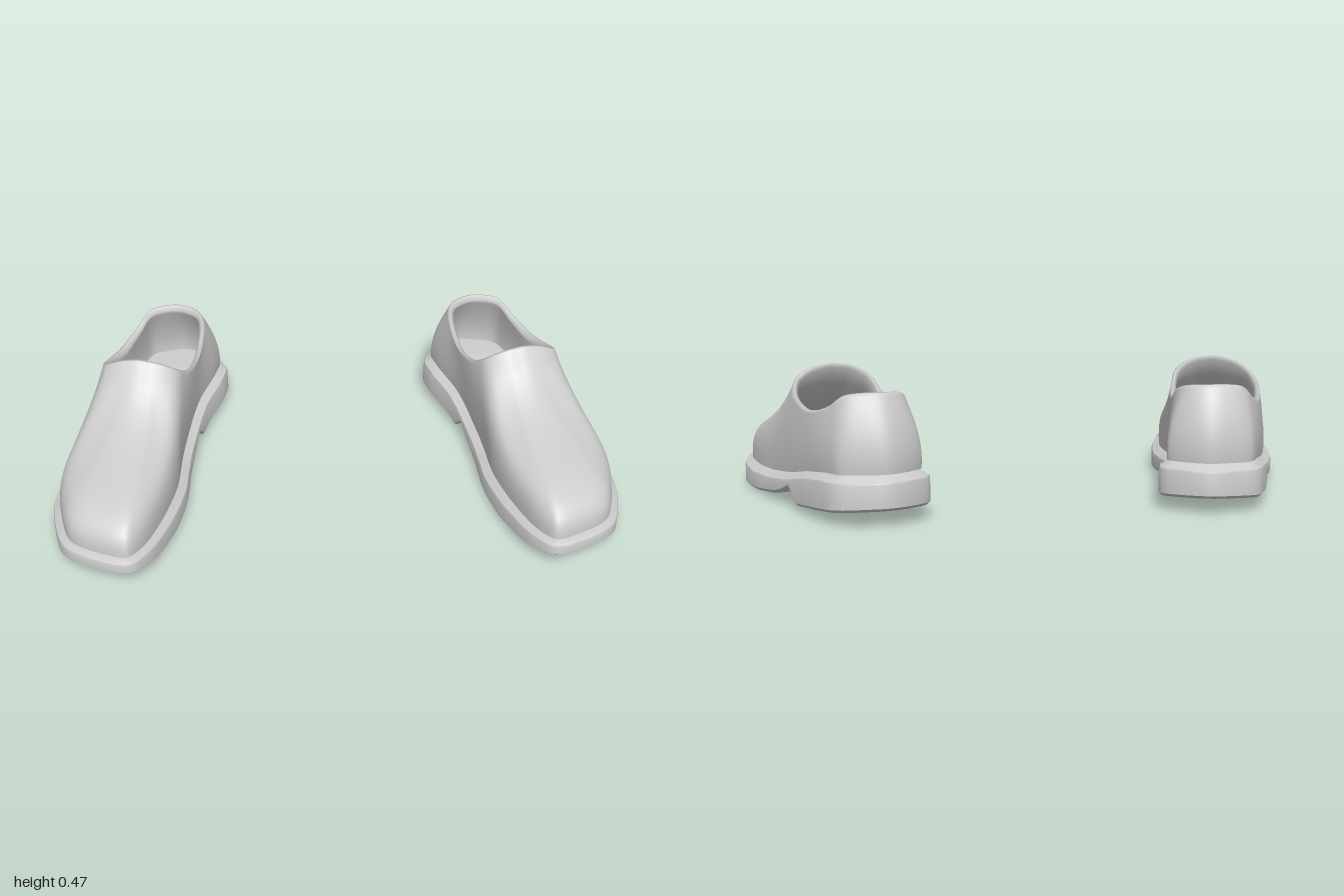
import * as THREE from 'three';
import { toCreasedNormals } from 'three/addons/utils/BufferGeometryUtils.js';

const material = new THREE.MeshStandardMaterial({ color: 0xcccccc, side: THREE.DoubleSide });
const { lerp, smoothstep } = THREE.MathUtils;

// Shoe frame: x across (outer side +), z along (toe +).
// Sole outline [x, z]: heel, inner side, toe, outer side.
const OUTLINE = [
  [0.006, -0.609], [-0.138, -0.533], [-0.147, -0.463], [-0.122, -0.281], [-0.135, -0.036],
  [-0.165, 0.153], [-0.162, 0.34], [-0.133, 0.503], [-0.089, 0.571], [0.025, 0.57],
  [0.151, 0.526], [0.225, 0.421], [0.275, 0.29], [0.282, 0.126], [0.265, -0.023],
  [0.238, -0.237], [0.21, -0.441], [0.182, -0.531], [0.11, -0.58],
];
// Rim of the foot opening [x, y, z], one point for each outline point.
const OPENING = [
  [0.01, 0.42, -0.512], [-0.055, 0.415, -0.49], [-0.088, 0.4, -0.437], [-0.107, 0.35, -0.3],
  [-0.105, 0.375, -0.16], [-0.09, 0.42, -0.095], [-0.06, 0.445, -0.075], [-0.02, 0.462, -0.062],
  [0.02, 0.468, -0.058], [0.05, 0.47, -0.056], [0.085, 0.465, -0.055], [0.115, 0.458, -0.055],
  [0.145, 0.445, -0.058], [0.175, 0.425, -0.07], [0.205, 0.385, -0.14], [0.198, 0.345, -0.29],
  [0.165, 0.37, -0.41], [0.13, 0.41, -0.47], [0.075, 0.42, -0.5],
];
// Heights along z: underside with the heel step, and top edge of the sole.
const UNDERSIDE = [[-0.62, 0.055], [-0.25, 0.018], [-0.19, 0.07], [-0.13, 0.045], [-0.05, 0.025],
  [0.1, 0.008], [0.28, 0], [0.45, 0.02], [0.6, 0.055]];
const SOLE_EDGE = [[-0.62, 0.15], [-0.45, 0.145], [-0.3, 0.125], [-0.15, 0.095], [0, 0.078],
  [0.15, 0.075], [0.3, 0.08], [0.6, 0.1]];

function heightAt(table, z) {
  let i = 0;
  while (i < table.length - 2 && z > table[i + 1][0]) i++;
  const [a, b] = [table[i], table[i + 1]];
  return lerp(a[1], b[1], THREE.MathUtils.clamp((z - a[0]) / (b[0] - a[0]), 0, 1));
}
const edgeY = (z) => heightAt(SOLE_EDGE, z);
const weltY = (z) => edgeY(z) + lerp(0.022, 0.01, smoothstep(z, 0.2, 0.5));

const outline = new THREE.CatmullRomCurve3(OUTLINE.map(([x, z]) => new THREE.Vector3(x, 0, z)), true);
const opening = new THREE.CatmullRomCurve3(OPENING.map((p) => new THREE.Vector3(...p)), true);

const sampleLoop = (curve, n) => Array.from({ length: n }, (_, i) => curve.getPoint(i / n));

// Unit inward directions of a closed loop
function inwardOf(loop) {
  const n = loop.length;
  return loop.map((_, i) => {
    const d = loop[(i + 1) % n].clone().sub(loop[(i + n - 1) % n]);
    return new THREE.Vector3(d.z, 0, -d.x).normalize();
  });
}

// Geometry from points and triangles, mirrored for the other foot
function buildGeometry(points, index, side) {
  const g = new THREE.BufferGeometry();
  g.setAttribute('position', new THREE.Float32BufferAttribute(points.flatMap((p) => [p.x * side, p.y, p.z]), 3));
  if (side < 0) for (let i = 0; i < index.length; i += 3) [index[i], index[i + 1]] = [index[i + 1], index[i]];
  g.setIndex(index);
  g.computeVertexNormals();
  return g;
}

// Triangles joining closed rings of n points each
function ringIndex(n, rows) {
  const index = [];
  for (let j = 0; j < rows - 1; j++) for (let i = 0; i < n; i++) {
    const a = j * n + i, b = j * n + ((i + 1) % n);
    index.push(a, b, b + n, a, b + n, a + n);
  }
  return index;
}

// Outline as paired inner and outer points at shared stations along z
function stationLoop() {
  const dense = sampleLoop(outline, 600);
  const zs = dense.map((p) => p.z);
  const heel = zs.indexOf(Math.min(...zs)), toe = zs.indexOf(Math.max(...zs));
  const walk = (from, to) => {
    const out = [];
    for (let i = from; ; i = (i + 1) % 600) { out.push(dense[i]); if (i === to) return out; }
  };
  const inner = walk(heel, toe), outer = walk(toe, heel).reverse();
  const xAt = (path, z) => {
    let i = 0;
    while (i < path.length - 2 && path[i + 1].z < z) i++;
    const a = path[i], b = path[i + 1];
    return lerp(a.x, b.x, THREE.MathUtils.clamp((z - a.z) / (b.z - a.z || 1), 0, 1));
  };
  const [z0, z1] = [zs[heel], zs[toe]];
  const stations = Array.from({ length: 57 }, (_, i) => lerp(z0, z1, (1 - Math.cos((Math.PI * i) / 56)) / 2));
  stations.push(-0.25, -0.19);
  stations.sort((a, b) => a - b);
  const at = (path) => stations.map((z) => new THREE.Vector3(xAt(path, z), 0, z));
  return [...at(inner), ...at(outer).slice(1, -1).reverse()];
}

const stations = stationLoop();
const stationInward = inwardOf(stations);
const ring = (inset, y) => stations.map((p, i) =>
  p.clone().addScaledVector(stationInward[i], inset).setY(y(p.z)));

// Cap across the paired stations, facing up or down
function capIndex(up) {
  const n = stations.length, half = n / 2, index = [];
  for (let i = 0; i < half; i++) {
    const a = i, b = i + 1, c = (n - i - 1) % n, d = (n - i) % n;
    if (up) index.push(a, b, c, a, c, d);
    else index.push(a, c, b, a, d, c);
  }
  return index;
}

function makeSole(side) {
  const under = (z) => heightAt(UNDERSIDE, z);
  const rings = [
    ring(0.01, under),
    ring(0, (z) => under(z) + 0.01),
    ring(0, (z) => edgeY(z) - 0.012),
    ring(0.003, (z) => edgeY(z) - 0.004),
    ring(0.011, edgeY),
    ring(0.024, (z) => lerp(edgeY(z), weltY(z), 0.4)),
    ring(0.05, weltY),
  ];
  const index = [...ringIndex(stations.length, rings.length), ...capIndex(false)];
  return toCreasedNormals(buildGeometry(rings.flat(), index, side), 0.7);
}

function makeFootbed(side) {
  return buildGeometry(ring(0.045, (z) => weltY(z) + 0.012), capIndex(true), side);
}

// Upper: Bezier ribs from the welt to the opening, over the lip and back down as lining
function makeUpper(side) {
  const n = 120, base = sampleLoop(outline, n), rim = sampleLoop(opening, n);
  const inward = inwardOf(base), centre = new THREE.Vector3(0.05, 0, -0.28);
  const rimInward = rim.map((p) => centre.clone().sub(p).setY(0).normalize());

  const ribs = (inset, rimInset, drop) => base.map((p, i) => {
    const front = smoothstep(p.z, -0.15, 0.5);
    const a = p.clone().addScaledVector(inward[i], inset).setY(weltY(p.z) - 0.004);
    const d = rim[i].clone().addScaledVector(rimInward[i], rimInset);
    d.y -= drop;
    const b = a.clone().addScaledVector(inward[i], -0.01);
    b.y += lerp(0.4 * (d.y - a.y), 0.2, front) - drop;
    const c = d.clone().lerp(b, 0.4);
    c.lerp(d.clone().add(new THREE.Vector3(0, -0.27 - drop, 0.17)), front);
    return new THREE.CubicBezierCurve3(a, b, c, d);
  });

  const outer = ribs(0.028, 0, 0), lining = ribs(0.05, 0.022, 0.014), rows = [];
  for (let j = 0; j <= 20; j++) rows.push(outer.map((c) => c.getPoint(j / 20)));
  rows.push(rim.map((p, i) => {
    const q = p.clone().addScaledVector(rimInward[i], 0.01);
    q.y += 0.002;
    return q;
  }));
  for (let j = 14; j >= 0; j--) rows.push(lining.map((c) => c.getPoint(j / 14)));
  return buildGeometry(rows.flat(), ringIndex(n, rows.length), side);
}

function makeShoe(side) {
  const shoe = new THREE.Group();
  shoe.name = side > 0 ? 'leftShoe' : 'rightShoe';
  const parts = { sole: makeSole, footbed: makeFootbed, upper: makeUpper };
  for (const [name, make] of Object.entries(parts)) {
    const mesh = new THREE.Mesh(make(side), material);
    mesh.name = name;
    shoe.add(mesh);
  }
  // Toes turned outward
  shoe.rotation.y = side * 0.258;
  shoe.position.x = side * 0.66;
  return shoe;
}

export function createModel() {
  const model = new THREE.Group();
  model.name = 'pairOfShoes';
  model.add(makeShoe(1), makeShoe(-1));
  return model;
}
